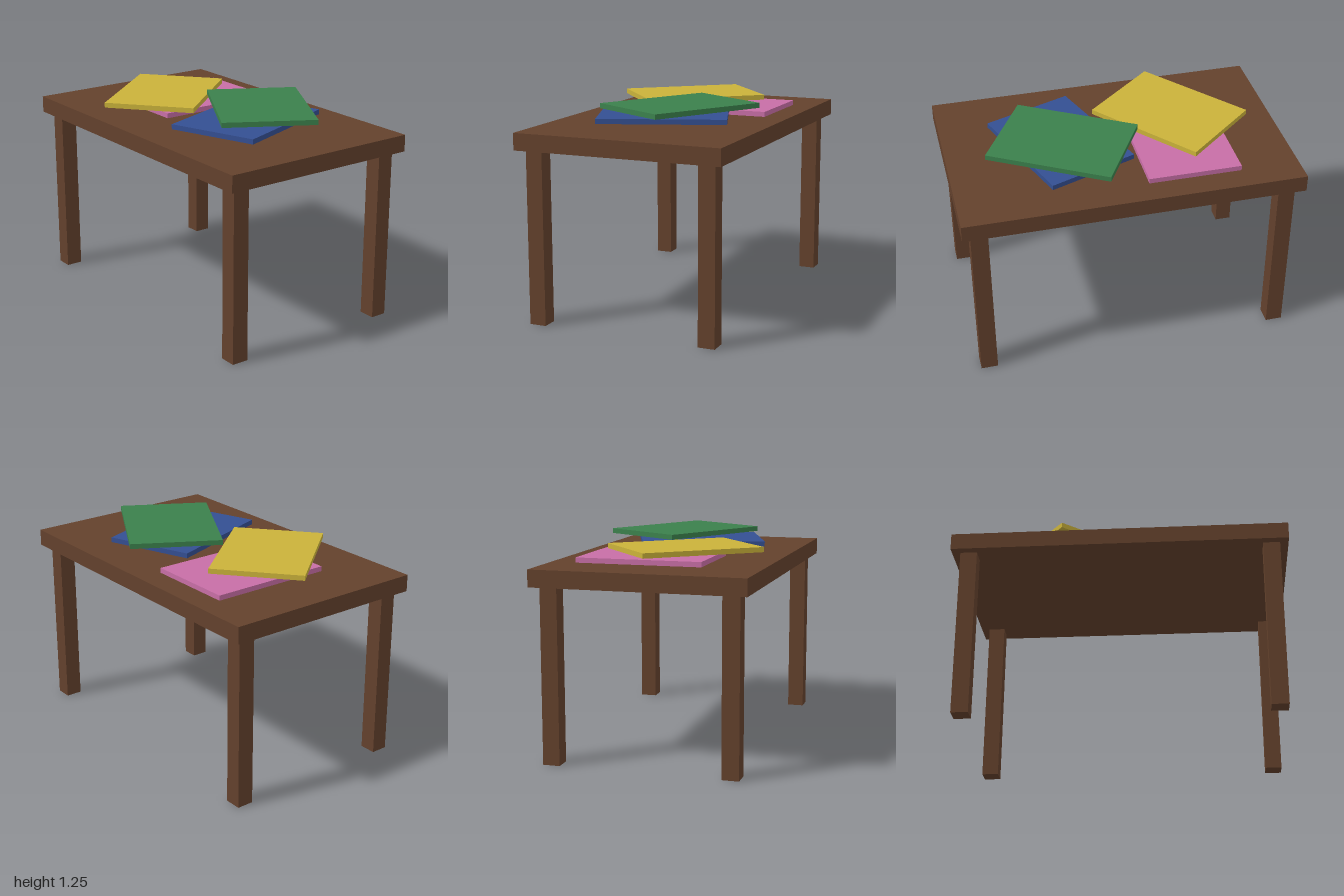
import * as THREE from 'three';

export function createModel() {
  const model = new THREE.Group();
  const paint = (name, color) => {
    const m = new THREE.MeshStandardMaterial({ color });
    m.name = name;
    return m;
  };
  const box = (name, material, size, position, turn = 0) => {
    const mesh = new THREE.Mesh(new THREE.BoxGeometry(...size), material);
    mesh.name = name;
    mesh.position.set(...position);
    mesh.rotation.y = THREE.MathUtils.degToRad(turn);
    model.add(mesh);
  };

  // Table
  const wood = paint('brown wood', 0x63412c);
  const topY = 1.1275, thickness = 0.1, legHeight = topY - thickness;
  box('tableTop', wood, [2, thickness, 1.25], [0, topY - thickness / 2, 0]);
  for (const [sideX, nameX] of [[1, 'Left'], [-1, 'Right']]) {
    for (const [sideZ, nameZ] of [[1, 'front'], [-1, 'back']]) {
      box(`${nameZ}${nameX}Leg`, wood, [0.1, legHeight, 0.1],
        [sideX * 0.9, legHeight / 2, sideZ * 0.525]);
    }
  }

  // Four flat slabs, each one level higher and turned further
  const slab = [0.55, 0.03, 0.75];
  [
    ['pink', 0xc76ea6, -0.375, -0.1, 0],
    ['blue', 0x344f92, 0.322, 0, 20],
    ['yellow', 0xcab23a, -0.375, 0.1, 40],
    ['green', 0x3b804c, 0.322, -0.1, 60],
  ].forEach(([name, color, x, z, turn], level) => {
    box(`${name}Slab`, paint(name, color), slab, [x, topY + slab[1] * (level + 0.5), z], turn);
  });

  return model;
}
